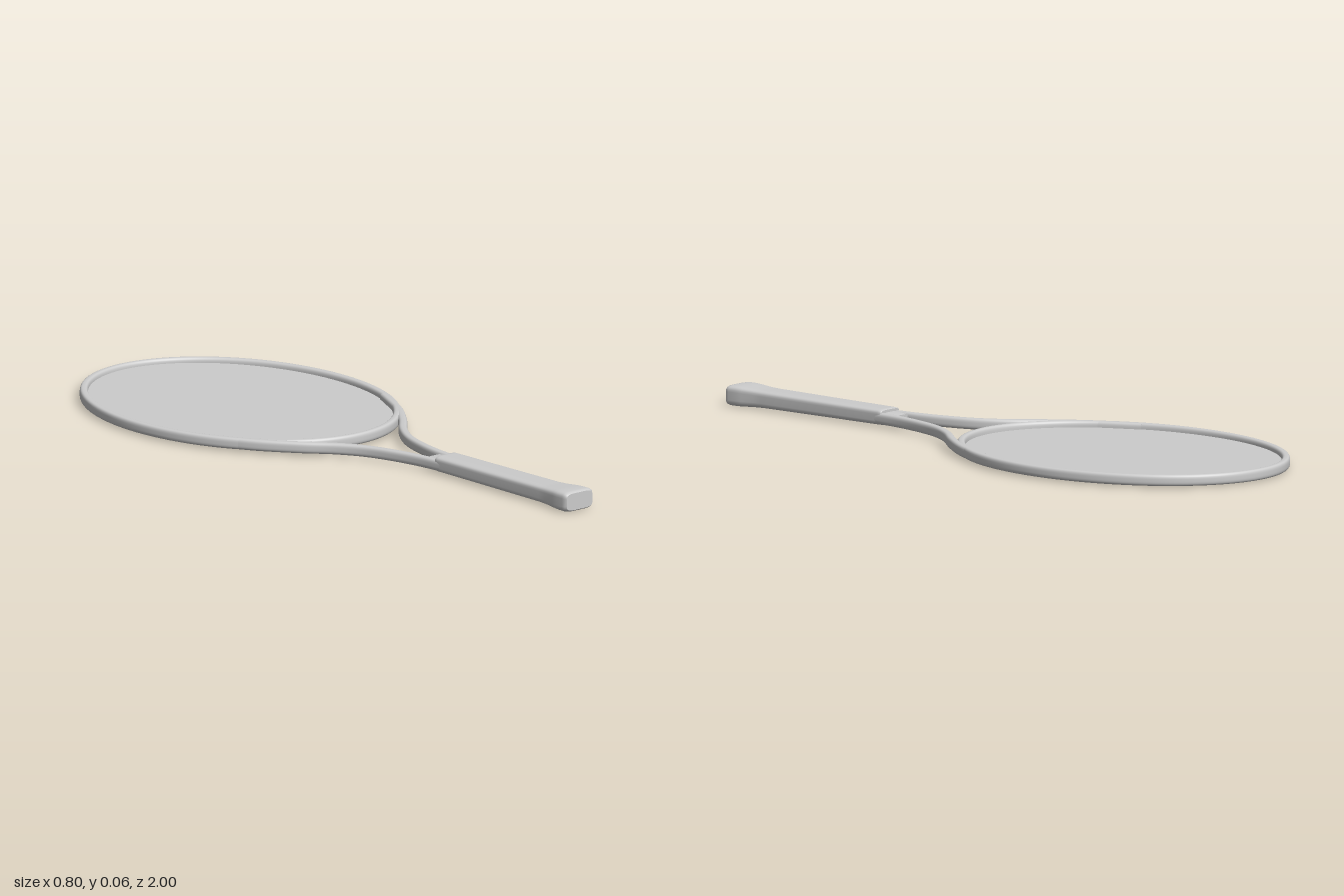
import * as THREE from 'three';

const grey = new THREE.MeshStandardMaterial({ color: 0xcccccc });
grey.name = 'light grey';
const greySheet = grey.clone();
greySheet.side = THREE.DoubleSide;

// Rounded-rectangle ring of size w x h at a centre, facing along a level tangent
function ring(centre, tangent, w, h, power = 4, sides = 24) {
  const side = new THREE.Vector3(tangent.z, 0, -tangent.x).normalize();
  const points = [];
  for (let j = 0; j < sides; j++) {
    const a = ((j + 0.5) / sides) * Math.PI * 2;
    const c = Math.cos(a), s = Math.sin(a);
    const u = Math.sign(c) * Math.abs(c) ** (2 / power) * w / 2;
    const v = Math.sign(s) * Math.abs(s) ** (2 / power) * h / 2;
    const p = centre.clone().addScaledVector(side, u);
    p.y += v;
    points.push(p);
  }
  return points;
}

// Skin over a row of rings, closed into a loop or capped at both ends
function loft(rings, closed = false) {
  const n = rings[0].length, m = rings.length;
  const pos = [], index = [];
  const add = p => pos.push(p.x, p.y, p.z) / 3 - 1;
  rings.flat().forEach(add);
  for (let i = 0; i < (closed ? m : m - 1); i++) {
    const r = i * n, q = ((i + 1) % m) * n;
    for (let j = 0; j < n; j++) {
      const k = (j + 1) % n;
      index.push(r + j, r + k, q + j, r + k, q + k, q + j);
    }
  }
  if (!closed) {
    for (const end of [0, 1]) {
      const cap = rings[end ? m - 1 : 0];
      const mid = cap.reduce((s, p) => s.add(p), new THREE.Vector3()).divideScalar(n);
      const first = pos.length / 3;
      cap.forEach(add);
      const c = add(mid);
      for (let j = 0; j < n; j++) {
        const a = first + j, b = first + (j + 1) % n;
        if (end) index.push(a, b, c);
        else index.push(b, a, c);
      }
    }
  }
  const g = new THREE.BufferGeometry();
  g.setAttribute('position', new THREE.Float32BufferAttribute(pos, 3));
  g.setIndex(index);
  g.computeVertexNormals();
  return g;
}

const frameY = z => 0.0235 + 0.004 * z;

export function createModel() {
  const racket = new THREE.Group();
  racket.name = 'racket';
  const add = (name, geometry, material = grey) => {
    const mesh = new THREE.Mesh(geometry, material);
    mesh.name = name;
    racket.add(mesh);
    return mesh;
  };

  // Oval hoop around the strings
  const midZ = -0.472, rx = 0.389, rz = 0.517;
  const hoop = [];
  for (let i = 0; i < 96; i++) {
    const a = (i / 96) * Math.PI * 2;
    const z = midZ + rz * Math.sin(a);
    const centre = new THREE.Vector3(rx * Math.cos(a), frameY(z), z);
    const tangent = new THREE.Vector3(-rx * Math.sin(a), 0, rz * Math.cos(a));
    hoop.push(ring(centre, tangent, 0.022 + 0.003 * Math.abs(Math.cos(a)), 0.033, 3));
  }
  add('hoop', loft(hoop, true));

  // String bed as one thin sheet
  const oval = new THREE.Shape().absellipse(0, 0, rx - 0.006, rz - 0.006, 0, Math.PI * 2);
  const bed = add('stringBed', new THREE.ShapeGeometry(oval, 40), greySheet);
  bed.rotation.x = -Math.PI / 2;
  bed.position.set(0, 0.0215, midZ);

  // Two throat arms running from the hoop into the handle
  for (const s of [1, -1]) {
    const path = new THREE.CatmullRomCurve3([
      [0.345, -0.24], [0.275, -0.1], [0.2, 0.005], [0.132, 0.085],
      [0.085, 0.165], [0.055, 0.26], [0.038, 0.35], [0.03, 0.44],
    ].map(([x, z]) => new THREE.Vector3(x * s, frameY(z), z)));
    const arm = [];
    for (let i = 0; i <= 40; i++) {
      arm.push(ring(path.getPoint(i / 40), path.getTangent(i / 40), 0.026, 0.033, 3));
    }
    add(s > 0 ? 'leftArm' : 'rightArm', loft(arm));
  }

  // Shapes along the handle axis: [z, centre height, width, height]
  const alongHandle = sections => loft(sections.map(([z, y, w, h]) =>
    ring(new THREE.Vector3(0, y, z), new THREE.Vector3(0, 0, 1), w, h, 5, 32)));

  // Filler between the arms just ahead of the grip
  add('throatBlock', alongHandle([
    [0.37, 0.026, 0.052, 0.024], [0.39, 0.026, 0.052, 0.029], [0.44, 0.026, 0.052, 0.033],
  ]));

  // Grip with its flared butt
  add('grip', alongHandle([
    [0.417, 0.0285, 0.08, 0.041], [0.42, 0.0285, 0.085, 0.045], [0.43, 0.0285, 0.086, 0.046],
    [0.65, 0.029, 0.087, 0.048], [0.87, 0.0295, 0.088, 0.051], [0.9, 0.0297, 0.092, 0.053],
    [0.94, 0.03, 0.104, 0.058], [0.96, 0.03, 0.108, 0.06], [0.985, 0.03, 0.109, 0.06],
    [0.995, 0.03, 0.106, 0.057], [1, 0.03, 0.098, 0.05],
  ]));

  return racket;
}
